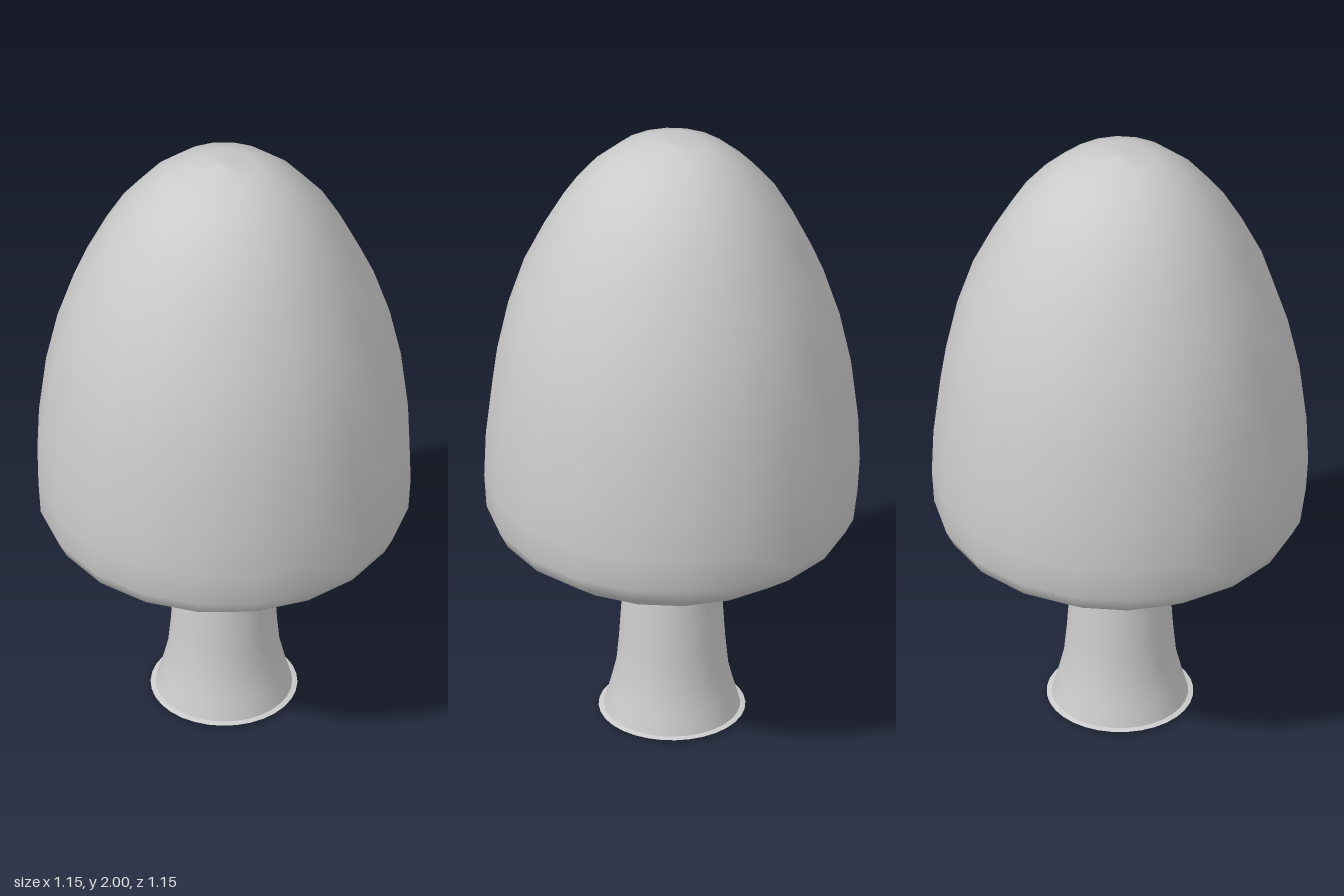
import * as THREE from 'three';

const material = new THREE.MeshStandardMaterial({ color: 0xcccccc });

// Smooth turned part from [radius, height] pairs, listed bottom to top
function turned(name, profile, sides) {
  const points = profile.map(([r, y]) => new THREE.Vector2(r, y));
  const mesh = new THREE.Mesh(new THREE.LatheGeometry(points, sides), material);
  mesh.name = name;
  return mesh;
}

export function createModel() {
  const tree = new THREE.Group();
  tree.name = 'tree';

  // Egg-shaped foliage with a shallow rounded underside
  tree.add(turned('crown', [
    [0, 0.525], [0.1, 0.526], [0.19, 0.535], [0.335, 0.567], [0.45, 0.62],
    [0.545, 0.69], [0.57, 0.74], [0.577, 0.85], [0.572, 1.0], [0.55, 1.2],
    [0.515, 1.37], [0.465, 1.53], [0.4, 1.67], [0.34, 1.78], [0.27, 1.87],
    [0.19, 1.945], [0.105, 1.985], [0, 2],
  ], 20));

  // Tapered trunk flaring at the foot
  tree.add(turned('trunk', [
    [0.21, 0.01], [0.19, 0.08], [0.172, 0.155], [0.163, 0.25], [0.145, 0.53],
  ], 32));

  // Thin foot plate, slightly convex underneath
  tree.add(turned('footUnderside', [[0, 0], [0.16, 0.003], [0.225, 0.01]], 32));
  tree.add(turned('footRim', [[0.225, 0.01], [0.208, 0.014]], 32));

  return tree;
}
